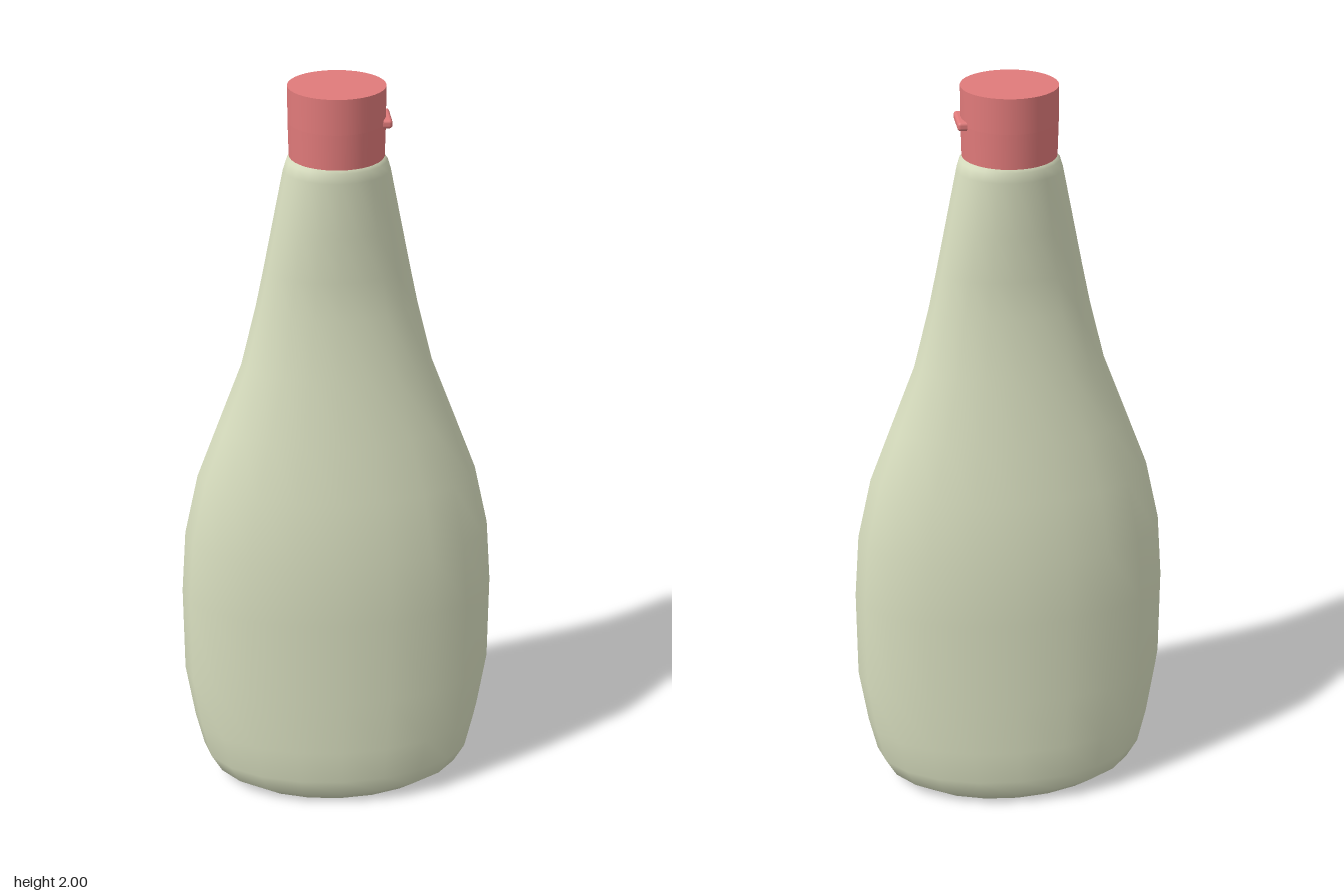
import * as THREE from 'three';
import { mergeVertices } from 'three/addons/utils/BufferGeometryUtils.js';
import { RoundedBoxGeometry } from 'three/addons/geometries/RoundedBoxGeometry.js';

// Oval cross-sections of the bottle: [height, half width, half depth]
const SECTIONS = [
  [0, 0, 0], [0, 0.285, 0.165], [0.035, 0.345, 0.195], [0.09, 0.375, 0.212],
  [0.19, 0.397, 0.215], [0.35, 0.42, 0.215], [0.6, 0.419, 0.215], [0.78, 0.405, 0.213],
  [0.95, 0.367, 0.187], [1.1, 0.31, 0.161], [1.27, 0.245, 0.131], [1.43, 0.205, 0.109],
  [1.53, 0.184, 0.107], [1.65, 0.16, 0.112], [1.79, 0.132, 0.114], [1.815, 0.124, 0.112],
  [1.83, 0.108, 0.104], [1.83, 0, 0],
];

function bottleGeometry(sides = 20) {
  const profile = SECTIONS.map(([y, w]) => new THREE.Vector2(w, y));
  const lathe = new THREE.LatheGeometry(profile, sides);
  const pos = lathe.attributes.position;
  // Flatten each ring from a circle to its oval
  for (let i = 0; i < pos.count; i++) {
    const [, w, d] = SECTIONS[i % SECTIONS.length];
    if (w > 0) pos.setZ(i, pos.getZ(i) * d / w);
  }
  lathe.deleteAttribute('uv');
  lathe.deleteAttribute('normal');
  const geometry = mergeVertices(lathe, 1e-4);
  geometry.computeVertexNormals();
  return geometry;
}

export function createModel() {
  const model = new THREE.Group();
  const plastic = new THREE.MeshStandardMaterial({ color: 0xd8debf });
  const red = new THREE.MeshStandardMaterial({ color: 0xe07a7a });

  const add = (name, geometry, material, x, y) => {
    const mesh = new THREE.Mesh(geometry, material);
    mesh.name = name;
    mesh.position.set(x, y, 0);
    model.add(mesh);
  };

  add('bottleBody', bottleGeometry(), plastic, 0, 0);

  // Flip cap: fixed collar, hinged lid and thumb tab
  add('capCollar', new THREE.CylinderGeometry(0.119, 0.117, 0.087, 40), red, 0, 1.8695);
  add('capLid', new THREE.CylinderGeometry(0.119, 0.119, 0.087, 40), red, 0, 1.9565);
  add('thumbTab', new RoundedBoxGeometry(0.05, 0.022, 0.1, 3, 0.008), red, 0.106, 1.914);

  return model;
}
